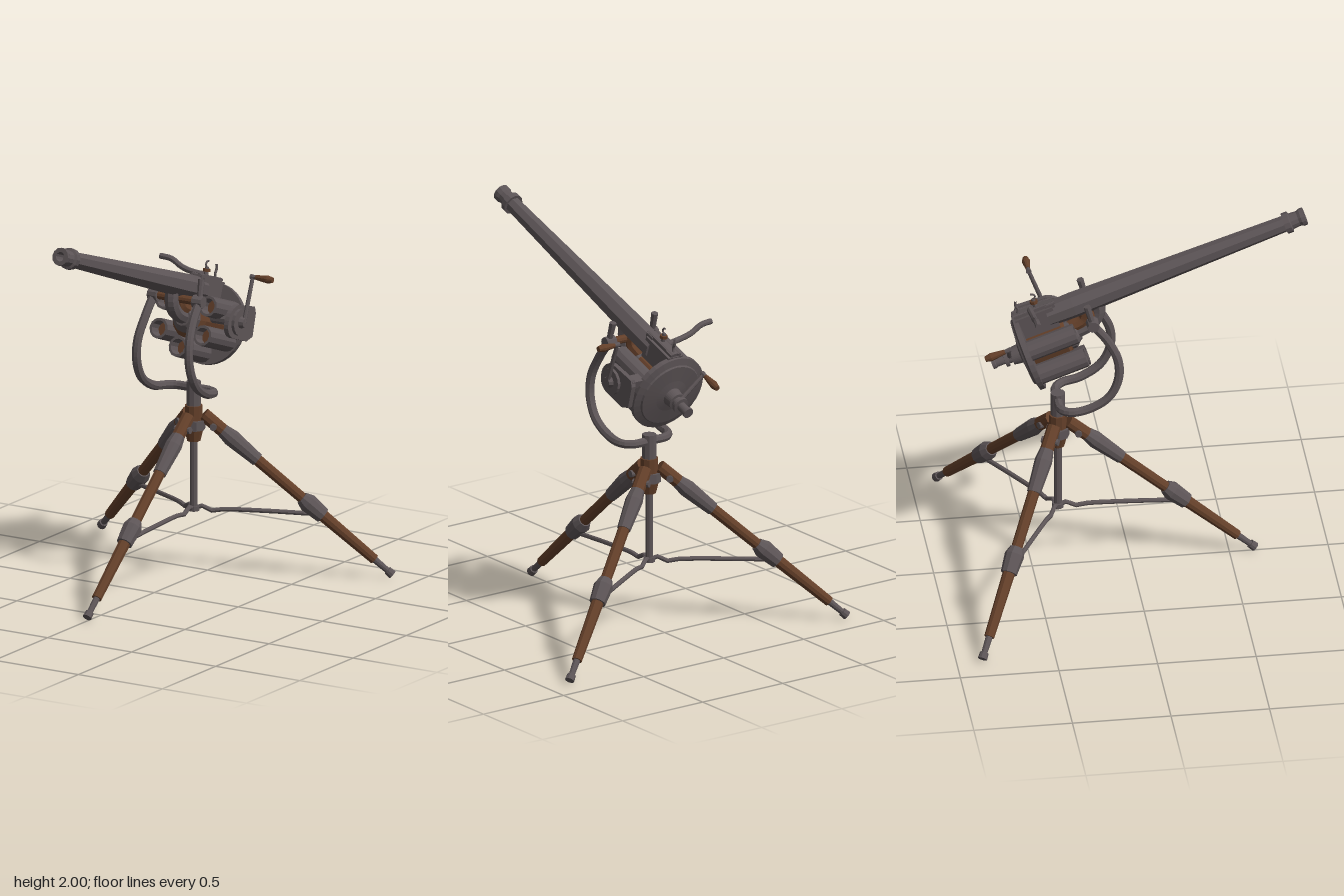
import * as THREE from 'three';

const V = (x, y, z) => new THREE.Vector3(x, y, z);

export function createModel() {
  const model = new THREE.Group();
  model.name = 'tripodGun';
  const metal = new THREE.MeshStandardMaterial({ color: 0x5c5456, flatShading: true });
  metal.name = 'gunmetal';
  const wood = new THREE.MeshStandardMaterial({ color: 0x633f29, flatShading: true });
  wood.name = 'wood';

  const add = (parent, name, geo, mat) => {
    const m = new THREE.Mesh(geo, mat);
    m.name = name;
    parent.add(m);
    return m;
  };
  // straight round bar from a (radius ra) to b (radius rb)
  const rod = (parent, name, a, b, ra, rb, mat, sides = 10) => {
    const d = b.clone().sub(a);
    const m = add(parent, name, new THREE.CylinderGeometry(rb, ra, d.length(), sides), mat);
    m.position.copy(a).addScaledVector(d, 0.5);
    m.quaternion.setFromUnitVectors(V(0, 1, 0), d.normalize());
    return m;
  };
  const pipe = (parent, name, pts, r, mat, steps = 24) =>
    add(parent, name, new THREE.TubeGeometry(
      new THREE.CatmullRomCurve3(pts.map(p => V(...p))), steps, r, 8), mat);
  // turned part: profile of [radius, height], axis laid along +z or -z
  const turned = (parent, name, pts, mat, dir = 1, sides = 12) =>
    add(parent, name, new THREE.LatheGeometry(
      pts.map(p => new THREE.Vector2(...p)), sides).rotateX(dir * Math.PI / 2), mat);
  const box = (parent, name, size, pos, mat) => {
    const m = add(parent, name, new THREE.BoxGeometry(...size), mat);
    m.position.set(...pos);
    return m;
  };

  // ---- tripod ----
  const tripod = new THREE.Group();
  tripod.name = 'tripod';
  tripod.position.z = -0.37;
  model.add(tripod);
  rod(tripod, 'centrePost', V(0, 0.35, 0), V(0, 0.8, 0), 0.02, 0.02, metal);
  rod(tripod, 'postFoot', V(0, 0.345, 0), V(0, 0.37, 0), 0.03, 0.03, metal);
  rod(tripod, 'hubRing', V(0, 0.77, 0), V(0, 0.82, 0), 0.06, 0.06, metal, 8);
  rod(tripod, 'hubCore', V(0, 0.71, 0), V(0, 0.77, 0), 0.035, 0.05, wood);
  rod(tripod, 'hubBlock', V(0, 0.82, 0), V(0, 0.895, 0), 0.046, 0.046, wood);
  rod(tripod, 'swivelHead', V(0, 0.895, 0), V(0, 1.02, 0), 0.037, 0.037, metal);

  for (let i = 0; i < 3; i++) {
    const leg = new THREE.Group();
    leg.name = 'leg' + (i + 1);
    leg.rotation.y = i * Math.PI * 2 / 3;
    tripod.add(leg);
    // a point on the leg line at distance r from the centre
    const P = r => V(0, 0.025 + 0.87 * (0.995 - r), r);
    const part = (name, r0, r1, a, b, mat) => rod(leg, name, P(r0), P(r1), a, b, mat);
    part('footPad', 1.0, 0.975, 0.024, 0.022, metal);
    part('footSpike', 0.98, 0.905, 0.015, 0.018, metal);
    part('lowerLeg', 0.91, 0.63, 0.026, 0.032, wood);
    part('legCollar', 0.65, 0.575, 0.042, 0.05, metal);
    part('legCollarTop', 0.575, 0.545, 0.05, 0.034, metal);
    part('upperLeg', 0.57, 0.3, 0.028, 0.03, wood);
    part('legSleeve', 0.32, 0.19, 0.035, 0.045, metal);
    part('sleeveTop', 0.19, 0.14, 0.045, 0.034, metal);
    part('legKnuckle', 0.15, 0.05, 0.035, 0.035, wood);
    rod(leg, 'hingePin', V(-0.045, 0.79, 0.1), V(0.045, 0.79, 0.1), 0.018, 0.018, metal);
    pipe(leg, 'brace', [[0, 0.36, 0.015], [0, 0.37, 0.045], [0, 0.345, 0.09],
      [0, 0.352, 0.14], [0, 0.347, 0.35], [0, 0.335, 0.58]], 0.012, metal, 20);
  }

  // ---- swept yoke ----
  const side = [[0.1, 0.985, -0.37], [0.145, 0.988, -0.33], [0.155, 1.005, -0.24],
    [0.16, 1.07, -0.135], [0.158, 1.17, -0.085], [0.152, 1.28, -0.085],
    [0.14, 1.39, -0.135], [0.135, 1.49, -0.21]];
  pipe(model, 'yoke', [...side.map(([x, y, z]) => [-x, y, z]).reverse(),
    [0, 0.985, -0.37], ...side], 0.023, metal, 72);
  rod(model, 'tiltAxle', V(-0.13, 1.49, -0.21), V(0.13, 1.49, -0.21), 0.021, 0.021, wood);
  for (const s of [-1, 1]) {
    rod(model, 'yokeKnob', V(s * 0.105, 1.49, -0.21), V(s * 0.16, 1.49, -0.21), 0.034, 0.03, metal);
    rod(model, 'clampLever', V(s * 0.135, 1.49, -0.21), V(s * 0.13, 1.6, -0.24), 0.014, 0.018, metal, 8);
  }

  // ---- gun, built along +z with the drum axis at its origin ----
  const gun = new THREE.Group();
  gun.name = 'gun';
  gun.position.set(0, 1.285, -0.52);
  gun.rotation.x = -20 * Math.PI / 180;
  model.add(gun);
  const up = 0.157;

  // barrel and muzzle
  const barrel = turned(gun, 'barrel', [[0, 0.16], [0.062, 0.16], [0.066, 0.3],
    [0.042, 1.46], [0, 1.46]], metal, 1, 8);
  barrel.position.y = up;
  barrel.geometry.rotateZ(Math.PI / 8);
  turned(gun, 'muzzle', [[0.04, 1.44], [0.055, 1.44], [0.055, 1.47], [0.042, 1.475],
    [0.039, 1.515], [0.046, 1.53], [0.046, 1.55], [0.024, 1.55], [0.024, 1.48], [0, 1.48]],
  metal).position.y = up;

  // revolving drum: wooden core with five open chambers, the barrel takes the sixth place
  turned(gun, 'drumCore', [[0, 0], [0.1, 0], [0.1, 0.2], [0.07, 0.22], [0, 0.22]], wood);
  turned(gun, 'drumHub', [[0.075, 0.2], [0.075, 0.24], [0.045, 0.27], [0, 0.27]], metal);
  for (let i = 1; i < 6; i++) {
    const a = Math.PI / 2 + i * Math.PI / 3;
    const c = new THREE.Group();
    c.name = 'chamber' + i;
    c.position.set(0.15 * Math.cos(a), 0.15 * Math.sin(a), 0);
    gun.add(c);
    turned(c, 'chamberTube', [[0, 0], [0.053, 0], [0.053, 0.265], [0.04, 0.265], [0.038, 0.19]], metal);
    turned(c, 'chamberPlug', [[0.038, 0.19], [0.038, 0.2], [0, 0.2]], wood);
  }

  // back disc with the stepped shaft
  turned(gun, 'backDisc', [[0, -0.015], [0.21, -0.015], [0.21, 0.012], [0.175, 0.022],
    [0.17, 0.03], [0.09, 0.038], [0.05, 0.045], [0.044, 0.09], [0.03, 0.092], [0.03, 0.11],
    [0.042, 0.112], [0.042, 0.128], [0.024, 0.13], [0.024, 0.175], [0.028, 0.178],
    [0.028, 0.195], [0, 0.195]], metal, -1, 32);

  // curved lug joining drum hub and barrel
  pipe(gun, 'frontLug', [[0, 0.13, 0.42], [0, 0.06, 0.4], [0, 0.015, 0.345], [0, 0, 0.25]], 0.036, metal, 12);
  pipe(gun, 'lugGrip', [[0, 0.1, 0.35], [0, 0.055, 0.32], [0, 0.04, 0.24]], 0.036, wood, 10);

  // breech with sights
  box(gun, 'breech', [0.09, 0.12, 0.2], [0, 0.155, 0.1], metal);
  box(gun, 'breechTop', [0.06, 0.02, 0.17], [0, 0.222, 0.09], metal);
  box(gun, 'breechCatch', [0.07, 0.025, 0.05], [0, 0.215, 0.19], metal);
  for (const x of [-0.022, 0.022])
    rod(gun, 'breechRail', V(x, 0.225, 0.0), V(x, 0.225, 0.22), 0.01, 0.008, metal, 6);
  rod(gun, 'sightPost', V(0, 0.22, 0.12), V(0, 0.275, 0.125), 0.012, 0.01, metal, 8);
  rod(gun, 'sightKnob', V(0, 0.25, 0.122), V(0, 0.265, 0.124), 0.02, 0.02, wood, 8);
  pipe(gun, 'sightHook', [[0, 0.27, 0.125], [0, 0.285, 0.14], [0, 0.3, 0.135], [0, 0.305, 0.12]], 0.005, metal, 8);
  pipe(gun, 'rearSight', [[0, 0.22, 0.02], [0, 0.25, 0.035], [0, 0.275, 0.03], [0, 0.3, 0.04]], 0.007, metal, 8);
  pipe(gun, 'breechLever', [[-0.02, 0.235, 0.09], [-0.1, 0.24, 0.1], [-0.16, 0.255, 0.105],
    [-0.22, 0.285, 0.115], [-0.285, 0.29, 0.12]], 0.015, metal, 16);

  // side gearbox: rounded plate, stepped bosses and shaft
  const plate = new THREE.Shape();
  plate.moveTo(0.03, -0.06);
  plate.lineTo(0.17, -0.06);
  plate.quadraticCurveTo(0.235, -0.05, 0.235, 0.02);
  plate.quadraticCurveTo(0.235, 0.085, 0.17, 0.11);
  plate.lineTo(0.01, 0.12);
  plate.lineTo(-0.01, 0.09);
  plate.lineTo(-0.02, -0.03);
  plate.closePath();
  const gearbox = add(gun, 'gearboxPlate', new THREE.ExtrudeGeometry(plate,
    { depth: 0.025, bevelEnabled: false, curveSegments: 6 }), metal);
  gearbox.rotation.y = -Math.PI / 2;
  gearbox.position.x = 0.25;
  const C = x => V(x, 0.027, 0.14);
  rod(gun, 'gearShaft', C(0.08), C(0.23), 0.028, 0.028, metal);
  rod(gun, 'gearWheel', C(0.25), C(0.266), 0.068, 0.068, metal, 16);
  rod(gun, 'gearBoss', C(0.262), C(0.29), 0.032, 0.025, metal);
  box(gun, 'gearboxBracket', [0.2, 0.04, 0.06], [0.14, 0.09, 0.03], metal);

  // crank: arm plus wooden handle
  const crank = (name, from, elbow, tip) => {
    const g = new THREE.Group();
    g.name = name;
    gun.add(g);
    const at = t => elbow.clone().lerp(tip, t);
    rod(g, 'crankArm', from, elbow, 0.012, 0.01, metal, 8);
    rod(g, 'crankPin', at(-0.1), at(0.2), 0.014, 0.01, metal, 8);
    rod(g, 'crankGrip', at(0.15), at(0.75), 0.012, 0.021, wood);
    rod(g, 'crankGripEnd', at(0.75), at(1), 0.021, 0.014, wood);
  };
  crank('sideCrank', C(0.282), V(0.282, 0.262, 0.137), V(0.4, 0.262, 0.137));
  crank('rearCrank', V(0, 0, -0.1), V(-0.14, 0.13, -0.08), V(-0.14, 0.13, -0.205));

  return model;
}
